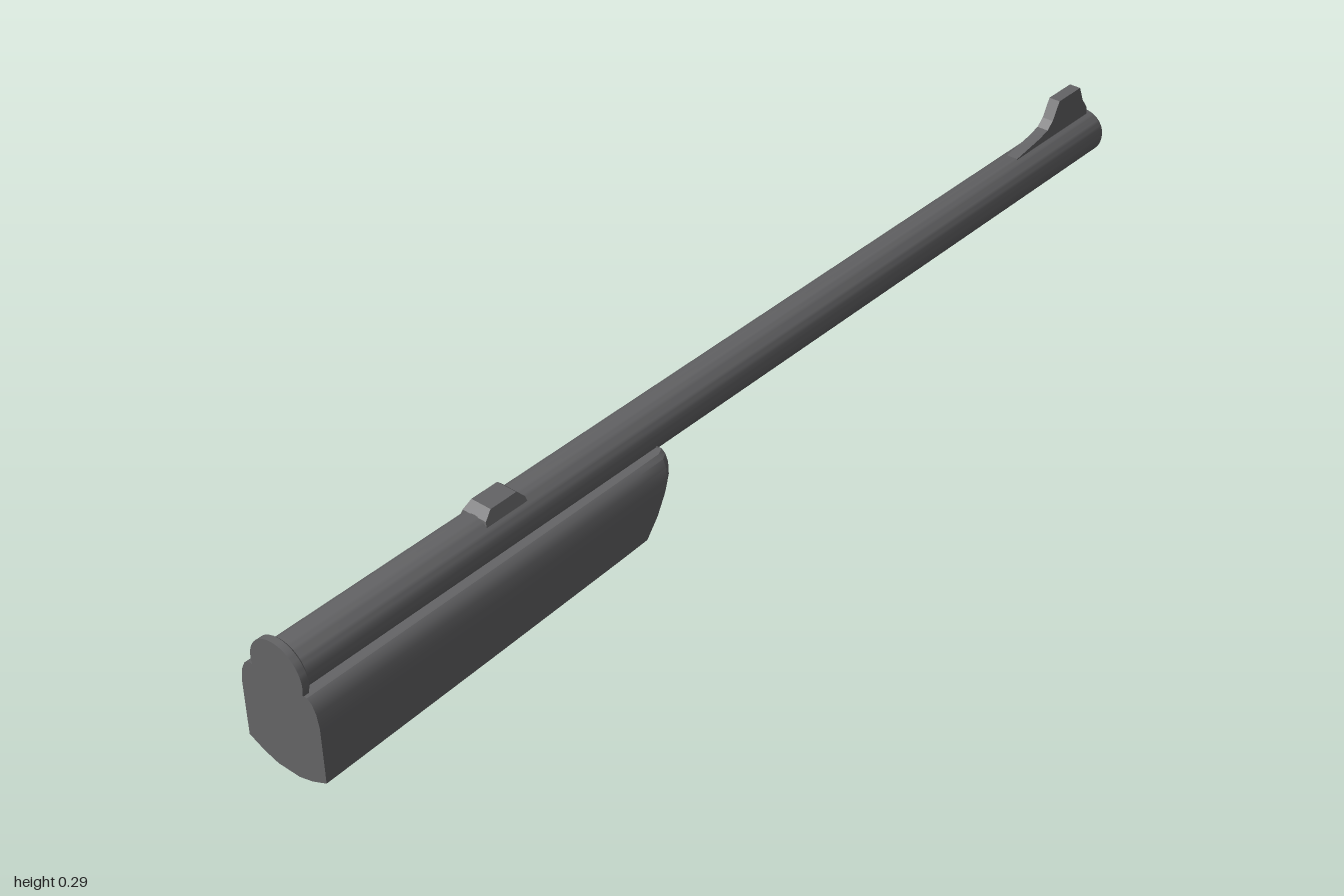
import * as THREE from 'three';
import { toCreasedNormals } from 'three/addons/utils/BufferGeometryUtils.js';

const AXIS_Y = 0.183;

// Turned part along x from [x, radius] pairs
function turned(pairs, segments = 48) {
  const g = new THREE.LatheGeometry(pairs.map(([x, r]) => new THREE.Vector2(r, x)), segments);
  g.rotateZ(-Math.PI / 2);
  g.translate(0, AXIS_Y, 0);
  return toCreasedNormals(g, 0.5);
}

// Side profile in x/y, extruded across z; taper(y) scales the width
function plate(points, halfWidth, taper = () => 1) {
  const shape = new THREE.Shape(points.map(([x, y]) => new THREE.Vector2(x, y)));
  const g = new THREE.ExtrudeGeometry(shape, { depth: 2 * halfWidth, bevelEnabled: false });
  g.translate(0, 0, -halfWidth);
  const p = g.attributes.position;
  for (let i = 0; i < p.count; i++) p.setZ(i, p.getZ(i) * taper(p.getY(i)));
  return toCreasedNormals(g, 0.3);
}

// Handguard lofted from a mirrored section, with a raked, bevelled nose
function handguardGeometry() {
  const half = [[0, 0.002], [0.022, 0.002], [0.05, 0.01], [0.08, 0.024], [0.08, 0.06], [0.08, 0.095],
    [0.08, 0.125], [0.076, 0.148], [0.069, 0.163], [0.06, 0.17], [0.048, 0.165], [0, 0.165]];
  const section = [...half, ...half.slice(1, -1).reverse().map(([z, y]) => [-z, y])];
  const noseX = (y) => -0.255 - 0.065 * Math.pow(Math.max(0, 0.165 - y) / 0.135, 2.2);
  // t along the length, setback from the nose, width scale; zero width closes an end
  const rings = [[0, 0, 0], [0, 0, 1], [0.5, 0, 0.985], [0.9, 0, 0.96], [1, 0.014, 0.95], [1, 0, 0.84], [1, 0, 0]];
  const pos = [], index = [], n = section.length;
  for (const [t, setback, width] of rings) {
    for (const [z, y0] of section) {
      const y = y0 + 0.022 * t * (1 - y0 / 0.17);
      pos.push(-1 + t * (noseX(y) + 1) - setback, y, z * width);
    }
  }
  for (let i = 0; i < rings.length - 1; i++) {
    for (let j = 0; j < n; j++) {
      const a = i * n + j, d = i * n + (j + 1) % n, b = a + n, c = d + n;
      index.push(a, b, d, b, c, d);
    }
  }
  const g = new THREE.BufferGeometry();
  g.setAttribute('position', new THREE.Float32BufferAttribute(pos, 3));
  g.setIndex(index);
  return toCreasedNormals(g, 0.5);
}

export function createModel() {
  const group = new THREE.Group();
  const steel = new THREE.MeshStandardMaterial({ color: 0x646466 });
  steel.name = 'dark grey';
  const add = (name, geometry) => {
    const mesh = new THREE.Mesh(geometry, steel);
    mesh.name = name;
    group.add(mesh);
  };

  // Hollow tube with chamfered muzzle and a closed rear
  add('barrel', turned([[-0.99, 0], [-0.99, 0.042], [0.994, 0.042], [1, 0.039],
    [1, 0.031], [0.994, 0.028], [-0.9, 0.028], [-0.9, 0]]));
  add('rearCollar', turned([[-1, 0], [-1, 0.053], [-0.988, 0.053], [-0.985, 0.05], [-0.985, 0]]));
  add('handguard', handguardGeometry());

  // Ramped blade near the muzzle
  add('frontSight', plate([[0.76, 0.215], [0.985, 0.215], [0.983, 0.238], [0.967, 0.26], [0.955, 0.289],
    [0.888, 0.289], [0.87, 0.256], [0.855, 0.243], [0.83, 0.236], [0.76, 0.225]], 0.011));
  // Low saddle with sloped sides
  add('rearSight', plate([[-0.615, 0.205], [-0.525, 0.205], [-0.529, 0.224], [-0.542, 0.237],
    [-0.596, 0.237], [-0.611, 0.224]], 0.03, (y) => 1 - 0.35 * (y - 0.205) / 0.032));
  return group;
}
